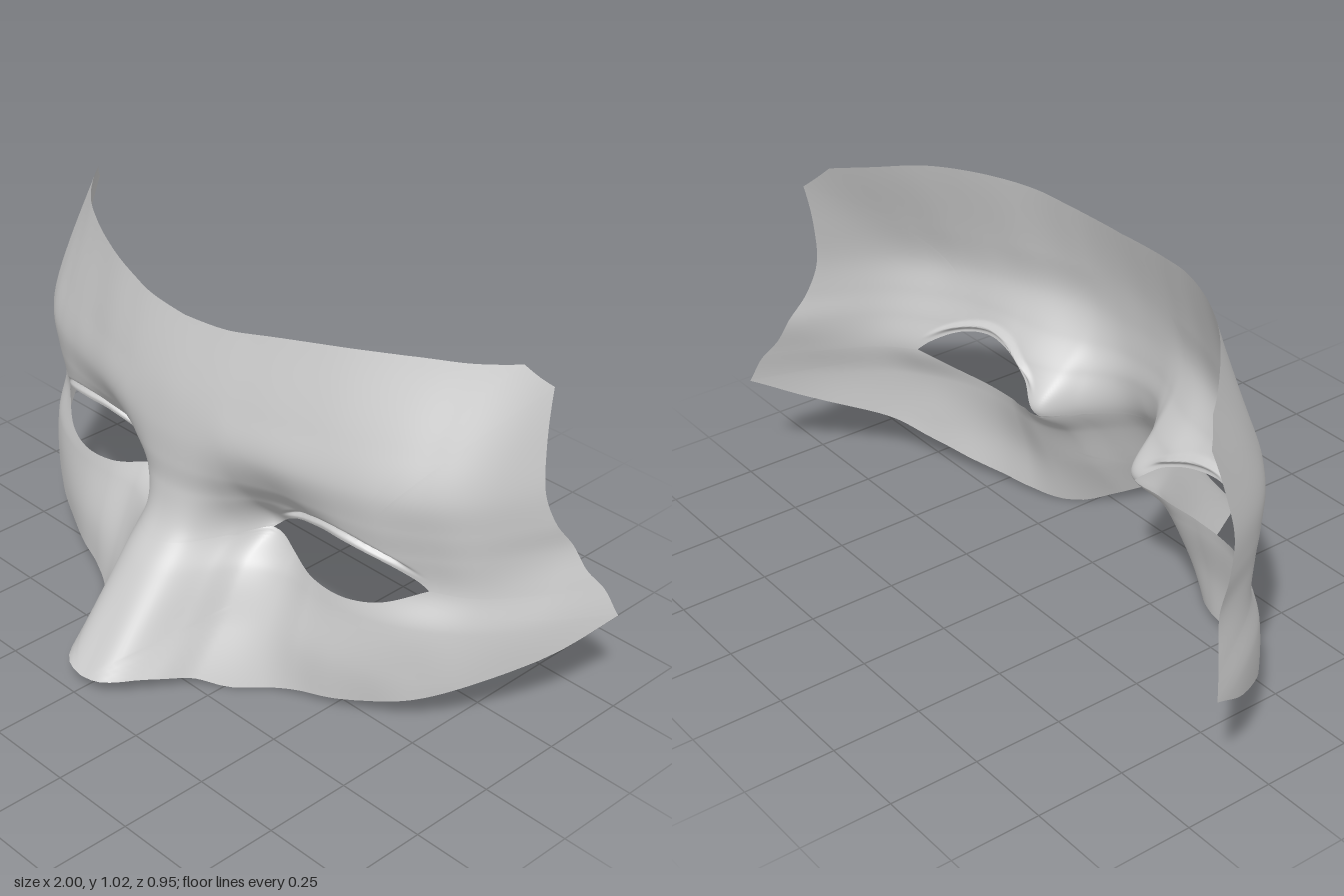
import * as THREE from 'three';
import { mergeVertices } from 'three/addons/utils/BufferGeometryUtils.js';

// Depth of the face at a grid of heights (rows) and distances from the midline (columns)
const COLS = [0, 0.08, 0.15, 0.2, 0.3, 0.4, 0.5, 0.6, 0.7, 0.8, 0.9, 1.0];
const ROWS = [0, 0.15, 0.3, 0.4, 0.5, 0.58, 0.68, 0.8, 1.0];
const DEPTH = [
  [0.505, 0.49, 0.39, 0.275, 0.145, 0.085, 0.05, 0.0, -0.05, -0.14, -0.27, -0.44],   // nose tip, cheek
  [0.387, 0.367, 0.255, 0.165, 0.09, 0.072, 0.052, 0.014, -0.042, -0.12, -0.265, -0.44],
  [0.275, 0.248, 0.15, 0.075, 0.026, 0.03, 0.026, 0.0, -0.05, -0.13, -0.275, -0.475],
  [0.195, 0.17, 0.065, -0.03, -0.02, 0.008, 0.01, -0.025, -0.088, -0.165, -0.325, -0.525], // eye
  [0.167, 0.152, 0.1, 0.046, 0.008, 0.012, 0.016, -0.012, -0.075, -0.166, -0.372, -0.58],
  [0.167, 0.16, 0.136, 0.11, 0.07, 0.054, 0.036, 0.004, -0.058, -0.157, -0.365, -0.58],  // brow
  [0.165, 0.161, 0.152, 0.143, 0.116, 0.085, 0.052, 0.012, -0.048, -0.158, -0.378, -0.6],
  [0.147, 0.143, 0.135, 0.125, 0.1, 0.064, 0.027, -0.024, -0.095, -0.212, -0.43, -0.63],
  [0.09, 0.088, 0.082, 0.073, 0.05, 0.012, -0.038, -0.105, -0.205, -0.335, -0.51, -0.67],  // hairline
];

// Smooth interpolation through unevenly spaced values
function smooth(xs, vs, x) {
  const n = xs.length;
  let i = 0;
  while (i < n - 2 && x > xs[i + 1]) i++;
  const slope = (k) => {
    const a = Math.max(k - 1, 0), b = Math.min(k + 1, n - 1);
    return (vs[b] - vs[a]) / (xs[b] - xs[a]);
  };
  const h = xs[i + 1] - xs[i], t = (x - xs[i]) / h, t2 = t * t, t3 = t2 * t;
  const m0 = i === 0 && xs === COLS ? 0 : slope(i);
  return (2 * t3 - 3 * t2 + 1) * vs[i] + (t3 - 2 * t2 + t) * h * m0
    + (3 * t2 - 2 * t3) * vs[i + 1] + (t3 - t2) * h * slope(i + 1);
}

// The right temple is slightly wider, more so towards the top
function faceDepth(x, y, side) {
  const ax = side > 0 ? x : x * (1 - (0.03 + 0.067 * (y - 0.33)) * x * x);
  return smooth(ROWS, DEPTH.map((row) => smooth(COLS, row, ax)), y);
}

// Smooth runs of points, joined at sharp corners into one closed polyline
function outline(runs, shift = 0) {
  return runs.flatMap((run) => {
    const curve = new THREE.CatmullRomCurve3(run.map(([x, y]) => new THREE.Vector3(x + shift, y, 0)), false, 'centripetal');
    return curve.getPoints(30).slice(0, -1);
  });
}

// Distance from the eye centre to a closed polyline along an angle
const CENTRE = [0.455, 0.42];
function reach(poly, angle) {
  const dx = Math.cos(angle), dy = Math.sin(angle);
  let best = 0;
  poly.forEach((p, i) => {
    const q = poly[(i + 1) % poly.length];
    const px = p.x - CENTRE[0], py = p.y - CENTRE[1], ex = q.x - p.x, ey = q.y - p.y;
    const det = dx * ey - dy * ex;
    if (Math.abs(det) < 1e-12) return;
    const r = (px * ey - py * ex) / det, t = (px * dy - py * dx) / det;
    if (t >= -1e-6 && t <= 1 + 1e-6 && r > best) best = r;
  });
  return best;
}

// Upper and lower lid edges
const EYE = [
  [[0.7, 0.402], [0.67, 0.432], [0.6, 0.476], [0.5, 0.501], [0.4, 0.497], [0.3, 0.465], [0.245, 0.425], [0.205, 0.387]],
  [[0.205, 0.387], [0.27, 0.375], [0.34, 0.352], [0.42, 0.338], [0.52, 0.337], [0.61, 0.355], [0.7, 0.402]],
];

// Outer edge of each half: top, cut corner, temple, cheek to nose, midline
const MIDLINE = [[0, 0.04], [0, 0.976]];
const LEFT = [
  [[0, 0.976], [0.15, 0.985], [0.3, 1.008], [0.45, 1.018], [0.6, 1.017], [0.7, 1.003], [0.775, 0.998]],
  [[0.775, 0.998], [0.83, 0.94]],
  [[0.83, 0.94], [0.857, 0.75], [0.882, 0.6], [0.908, 0.5], [0.932, 0.44], [0.97, 0.375], [1.0, 0.3]],
  [[1.0, 0.3], [0.93, 0.22], [0.8, 0.14], [0.7, 0.085], [0.55, 0.04], [0.4, 0.018], [0.27, 0], [0.2, 0.03], [0.13, 0.05], [0, 0.04]],
  MIDLINE,
];
const RIGHT = [
  [[0, 0.976], [0.15, 0.985], [0.3, 1.005], [0.45, 1.017], [0.6, 1.02], [0.72, 1.005], [0.85, 0.985]],
  [[0.85, 0.985], [0.895, 0.93]],
  [[0.895, 0.93], [0.905, 0.75], [0.92, 0.58], [0.935, 0.48], [0.965, 0.41], [1.0, 0.33]],
  [[1.0, 0.33], [0.93, 0.24], [0.8, 0.15], [0.65, 0.08], [0.5, 0.04], [0.3, 0.01], [0.23, 0.025], [0.16, 0.052], [0, 0.04]],
  MIDLINE,
];

// Rings of vertices from the eye opening out to the edge of one half
function addHalf(side, runs, positions, indices) {
  const shift = side > 0 ? 0 : 0.012;
  const eye = outline(EYE, shift), edge = outline(runs);
  const base = positions.length / 3, rings = 54;
  const angles = Array.from({ length: 240 }, (_, i) => (i / 240) * Math.PI * 2);
  const corners = [...runs.map((r) => r[0]), ...EYE.map((r) => [r[0][0] + shift, r[0][1]])];
  corners.forEach(([x, y]) => {
    angles.push((Math.atan2(y - CENTRE[1], x - CENTRE[0]) + Math.PI * 2) % (Math.PI * 2));
  });
  angles.sort((a, b) => a - b);
  angles.forEach((a) => {
    const r0 = reach(eye, a), r1 = reach(edge, a);
    for (let j = 0; j <= rings; j++) {
      const d = (r1 - r0) * Math.pow(j / rings, 1.8);
      const x = CENTRE[0] + Math.cos(a) * (r0 + d), y = CENTRE[1] + Math.sin(a) * (r0 + d);
      // crease above the upper lid
      const lid = THREE.MathUtils.smoothstep(Math.sin(a), 0.05, 0.5);
      const crease = 0.016 * lid * Math.exp(-(((d - 0.023) / 0.008) ** 2));
      const px = Math.abs(x) < 1e-6 ? 0 : x;
      positions.push(side * px, y, faceDepth(px, y, side) - crease);
    }
  });
  const n = angles.length, w = rings + 1;
  for (let i = 0; i < n; i++) {
    for (let j = 0; j < rings; j++) {
      const a = base + i * w + j, b = a + 1, d = base + ((i + 1) % n) * w + j, c = d + 1;
      if (side > 0) indices.push(a, b, c, a, c, d);
      else indices.push(a, c, b, a, d, c);
    }
  }
}

export function createModel() {
  const positions = [], indices = [];
  addHalf(1, LEFT, positions, indices);
  addHalf(-1, RIGHT, positions, indices);

  let geometry = new THREE.BufferGeometry();
  geometry.setAttribute('position', new THREE.Float32BufferAttribute(positions, 3));
  geometry.setIndex(indices);
  geometry = mergeVertices(geometry, 1e-5); // weld the halves along the nose
  geometry.computeVertexNormals();

  const material = new THREE.MeshStandardMaterial({ color: 0xcccccc, side: THREE.DoubleSide });
  const mask = new THREE.Mesh(geometry, material);
  mask.name = 'halfFaceMask';
  const group = new THREE.Group();
  group.name = 'mask';
  group.add(mask);
  return group;
}
